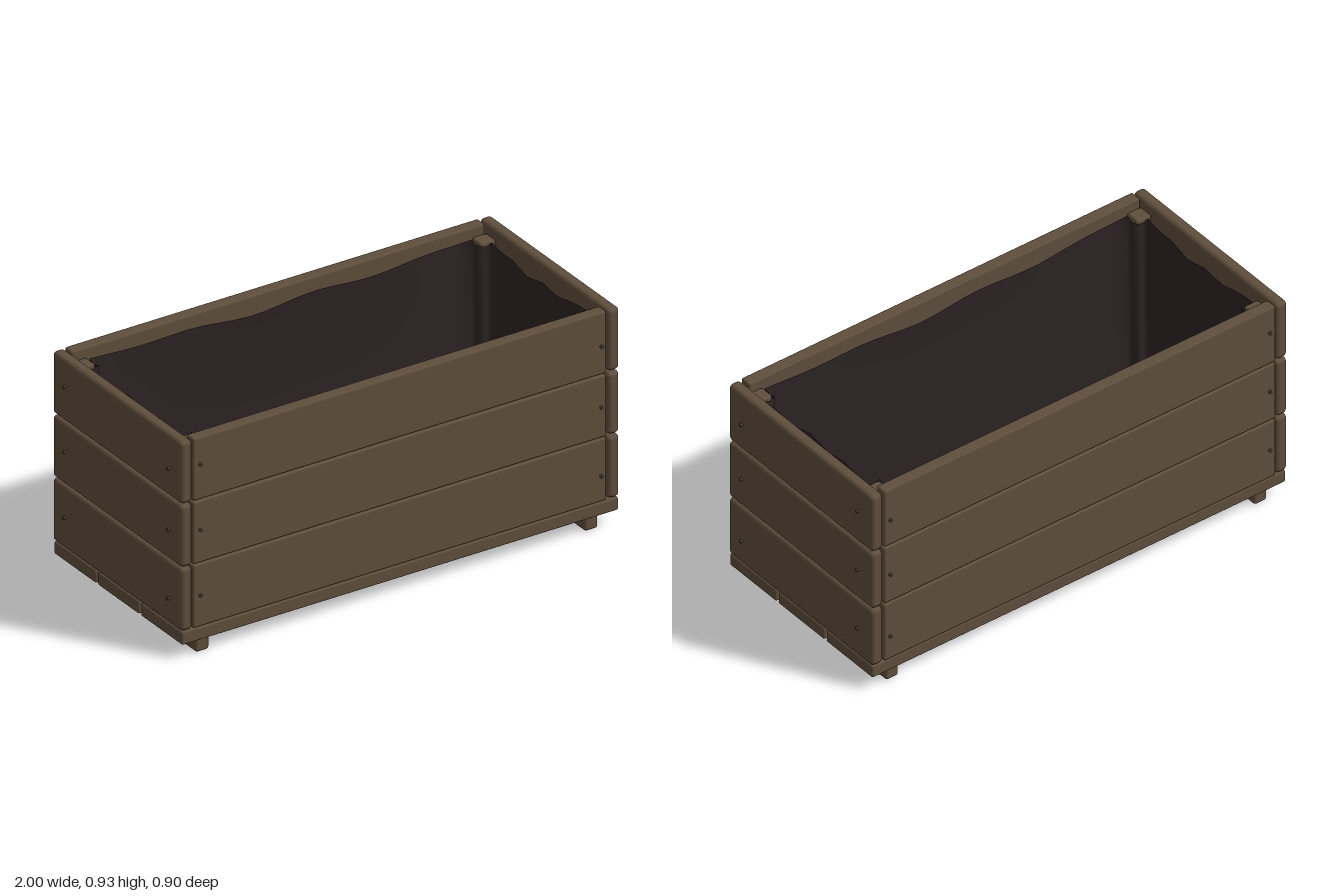
import * as THREE from 'three';
import { RoundedBoxGeometry } from 'three/addons/geometries/RoundedBoxGeometry.js';

export function createModel() {
  const model = new THREE.Group();
  model.name = 'planterBox';
  const wood = new THREE.MeshStandardMaterial({ color: 0x5f4e3c });
  wood.name = 'weatheredWood';
  const cloth = new THREE.MeshStandardMaterial({ color: 0x2e2324, side: THREE.DoubleSide });
  cloth.name = 'darkLiner';
  const metal = new THREE.MeshStandardMaterial({ color: 0x4a3d30 });
  metal.name = 'screwMetal';

  // Softly rounded plank given by its limits on each axis
  function plank(name, x0, x1, y0, y1, z0, z1, r = 0.012) {
    const geo = new RoundedBoxGeometry(x1 - x0, y1 - y0, z1 - z0, 2, r);
    const mesh = new THREE.Mesh(geo, wood);
    mesh.position.set((x0 + x1) / 2, (y0 + y1) / 2, (z0 + z1) / 2);
    mesh.name = name;
    model.add(mesh);
  }

  // Screw head whose axis points along x or z
  const screwGeo = new THREE.CylinderGeometry(0.006, 0.008, 0.02, 10);
  function screw(x, y, z, axis) {
    const mesh = new THREE.Mesh(screwGeo, metal);
    mesh.position.set(x, y, z);
    if (axis === 'x') mesh.rotation.z = -Math.sign(x) * Math.PI / 2;
    else mesh.rotation.x = Math.sign(z) * Math.PI / 2;
    mesh.name = 'screw';
    model.add(mesh);
  }

  // Three courses of wall boards
  const rows = [[0.12, 0.388], [0.393, 0.658], [0.664, 0.93]];
  const lowScrews = [0.23, 0.525, 0.785];
  const highScrews = [0.255, 0.535, 0.815];
  rows.forEach(([y0, y1], i) => {
    for (const s of [-1, 1]) {
      const zs = [s * 0.392, s * 0.442].sort((a, b) => a - b);
      const xs = [s * 0.938, s * 0.99].sort((a, b) => a - b);
      plank('longBoard', -0.934, 0.93, y0, y1, zs[0], zs[1], 0.008);
      plank('endBoard', xs[0], xs[1], y0, y1, -0.444, 0.444, 0.018);
      screw(s * 0.99, lowScrews[i], 0.36, 'x');
      screw(s * 0.99, highScrews[i], -0.355, 'x');
      screw(-0.905, highScrews[i], s * 0.442, 'z');
      screw(0.905, lowScrews[i], s * 0.442, 'z');
    }
  });

  // Floor boards with narrow gaps, and the two runners under them
  for (const [z0, z1] of [[-0.438, -0.152], [-0.14, 0.143], [0.156, 0.442]])
    plank('floorBoard', -0.985, 0.985, 0.062, 0.118, z0, z1, 0.008);
  for (const x of [-0.88, 0.875])
    plank('footRunner', x - 0.03, x + 0.03, 0, 0.064, -0.42, 0.424);

  // Inner corner posts
  for (const sx of [-1, 1]) for (const sz of [-1, 1]) {
    const x = sx * 0.903, z = sz * 0.36;
    plank('cornerPost', x - 0.034, x + 0.034, 0.118, 0.89, z - 0.033, z + 0.033, 0.01);
  }

  // Liner outline: a rectangle notched around the posts
  const outline = [];
  function side(ax, az, bx, bz, n, sagX, sagZ) {
    for (let i = 0; i < n; i++) {
      const t = i / n, bow = Math.sin(Math.PI * t);
      outline.push({
        x: ax + (bx - ax) * t, z: az + (bz - az) * t, sagX, sagZ, bow,
        wave: Math.sin(t * Math.PI * 6) * 0.012 * bow,
      });
    }
  }
  const X = 0.915, Z = 0.382, nx = 0.862, nz = 0.32;
  side(-nx, Z, nx, Z, 24, 0, -1);
  side(nx, Z, nx, nz, 2, 0, 0);
  side(nx, nz, X, nz, 2, 0, 0);
  side(X, nz, X, -nz, 12, -1, 0);
  side(X, -nz, nx, -nz, 2, 0, 0);
  side(nx, -nz, nx, -Z, 2, 0, 0);
  side(nx, -Z, -nx, -Z, 24, 0, 1);
  side(-nx, -Z, -nx, -nz, 2, 0, 0);
  side(-nx, -nz, -X, -nz, 2, 0, 0);
  side(-X, -nz, -X, nz, 12, 1, 0);
  side(-X, nz, -nx, nz, 2, 0, 0);
  side(-nx, nz, -nx, Z, 2, 0, 0);

  // Stack the outline from rim to floor, then close it at the centre
  const levels = [0.885, 0.7, 0.4, 0.135];
  const pos = [], index = [], n = outline.length;
  levels.forEach((y, k) => {
    for (const p of outline) {
      const sag = k === 0 ? 0.018 * p.bow : 0.004;
      pos.push(p.x + p.sagX * sag, y + (k === 0 ? p.wave - 0.01 * p.bow : 0), p.z + p.sagZ * sag);
    }
  });
  for (let k = 0; k < levels.length - 1; k++) for (let i = 0; i < n; i++) {
    const a = k * n + i, b = k * n + (i + 1) % n;
    index.push(a, b, a + n, b, b + n, a + n);
  }
  const wallGeo = new THREE.BufferGeometry();
  wallGeo.setAttribute('position', new THREE.Float32BufferAttribute(pos, 3));
  wallGeo.setIndex(index);
  wallGeo.computeVertexNormals();
  const walls = new THREE.Mesh(wallGeo, cloth);
  walls.name = 'linerWalls';
  model.add(walls);

  const floorShape = new THREE.Shape(outline.map(p => new THREE.Vector2(p.x, -p.z)));
  const floorGeo = new THREE.ShapeGeometry(floorShape);
  floorGeo.rotateX(-Math.PI / 2);
  const floor = new THREE.Mesh(floorGeo, cloth);
  floor.position.y = 0.135;
  floor.name = 'linerFloor';
  model.add(floor);

  return model;
}
